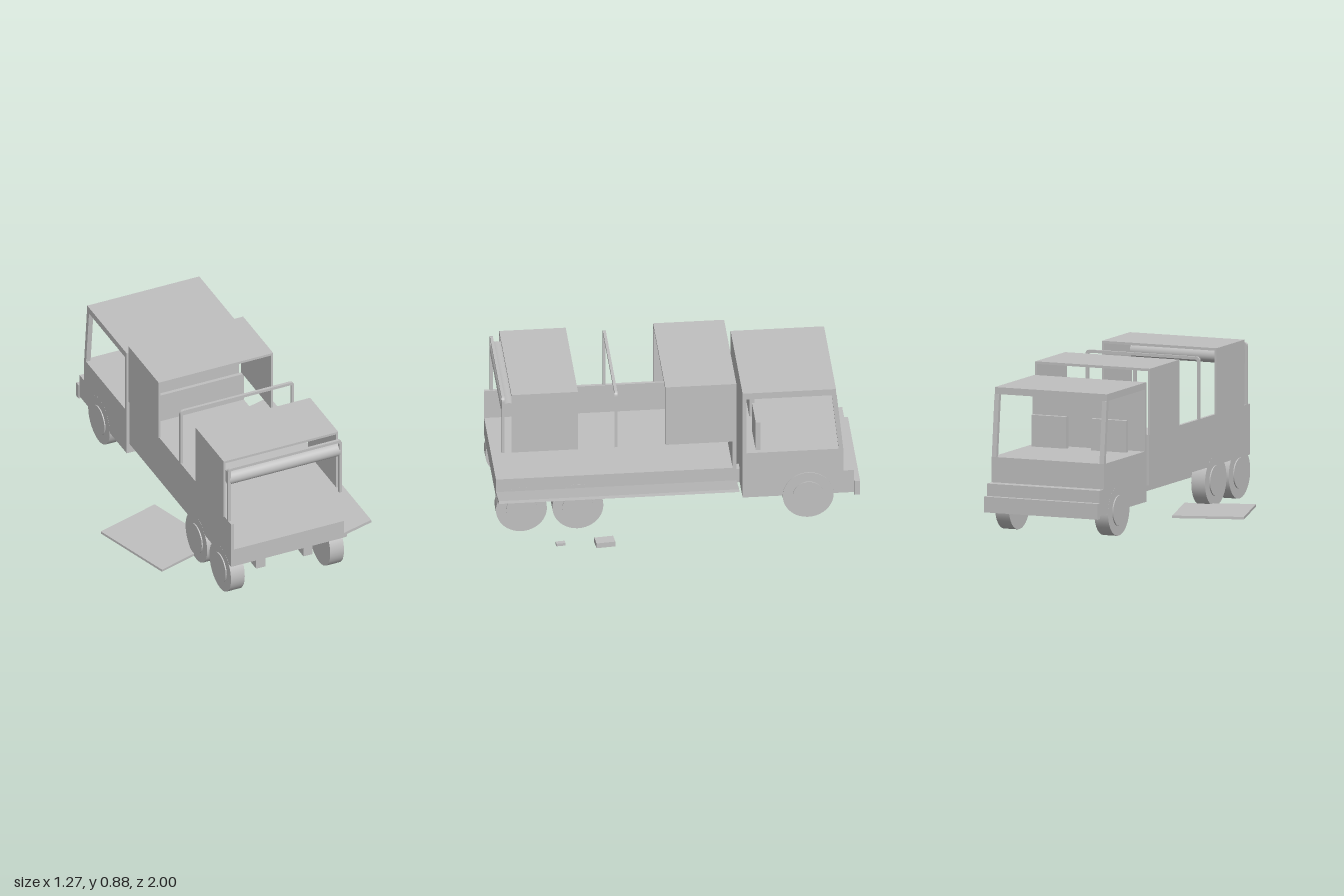
import * as THREE from 'three';

export function createModel() {
  const truck = new THREE.Group();
  truck.name = 'truck';
  const grey = new THREE.MeshStandardMaterial({ color: 0xc0c0c0 });
  grey.name = 'grey';
  const CX = 0.075; // centre line of the truck

  const add = (name, geometry, parent = truck) => {
    const mesh = new THREE.Mesh(geometry, grey);
    mesh.name = name;
    parent.add(mesh);
    return mesh;
  };
  // box given by its limits on each axis
  const box = (name, [x0, x1], [y0, y1], [z0, z1], parent) => {
    const mesh = add(name, new THREE.BoxGeometry(x1 - x0, y1 - y0, z1 - z0), parent);
    mesh.position.set((x0 + x1) / 2, (y0 + y1) / 2, (z0 + z1) / 2);
    return mesh;
  };
  // side outline as [z, y] points, extruded from x0 to x1
  const sideShape = (points) => new THREE.Shape(points.map(([z, y]) => new THREE.Vector2(-z, y)));
  const sideExtrude = (name, shape, x0, x1, parent) => {
    const g = new THREE.ExtrudeGeometry(shape, { depth: x1 - x0, bevelEnabled: false });
    g.rotateY(Math.PI / 2);
    const mesh = add(name, g, parent);
    mesh.position.x = x0;
    return mesh;
  };

  // cab
  const cab = new THREE.Group();
  cab.name = 'cab';
  truck.add(cab);
  const L = -0.265, R = 0.41;
  box('cabBody', [L, R], [0.15, 0.43], [-0.908, -0.355], cab);
  box('cabRoof', [L, R], [0.772, 0.81], [-0.868, -0.355], cab);
  box('cabRearWall', [L, R], [0.43, 0.772], [-0.375, -0.355], cab);
  for (const x of [L, R - 0.027]) {
    const pillar = sideShape([[-0.908, 0.43], [-0.883, 0.43], [-0.845, 0.772], [-0.872, 0.772]]);
    sideExtrude('windscreenPillar', pillar, x, x + 0.027, cab);
  }
  box('cabNose', [L, R], [0.15, 0.29], [-0.968, -0.908], cab);
  box('bumper', [-0.27, 0.415], [0.135, 0.222], [-1, -0.968], cab);
  box('seatBack', [0.17, 0.38], [0.43, 0.605], [-0.457, -0.43], cab);
  box('seatBack', [-0.19, 0.02], [0.43, 0.605], [-0.457, -0.43], cab);

  // chassis rails
  for (const x of [-0.095, 0.19]) box('chassisRail', [x, x + 0.055], [0.15, 0.235], [-0.4, 0.96]);

  // cargo bed with the left side board folded down
  box('bedFloor', [-0.265, 0.415], [0.235, 0.345], [-0.32, 1]);
  box('bedSideBoard', [-0.265, -0.247], [0.345, 0.515], [-0.32, 1]);
  box('bedFrontBoard', [-0.247, 0.415], [0.345, 0.515], [-0.32, -0.3]);
  const flap = add('foldedSideBoard', new THREE.BoxGeometry(0.17, 0.016, 1.32));
  flap.position.set(0.498, 0.277, 0.34);
  flap.rotation.z = 0.235;

  // wheels with hubs
  for (const z of [-0.715, 0.55, 0.86]) {
    for (const side of [-1, 1]) {
      const wheel = new THREE.Group();
      wheel.name = 'wheel';
      wheel.position.set(CX + side * 0.299, 0.15, z);
      wheel.rotation.z = Math.PI / 2;
      add('tyre', new THREE.CylinderGeometry(0.14, 0.14, 0.083, 40), wheel);
      const hub = add('hub', new THREE.CylinderGeometry(0.085, 0.085, 0.02, 32), wheel);
      hub.position.y = -side * 0.038;
      truck.add(wheel);
    }
  }

  // two canopies, each a roof with side panels
  for (const z of [[-0.32, 0.07], [0.55, 0.915]]) {
    const canopy = new THREE.Group();
    canopy.name = 'canopy';
    truck.add(canopy);
    box('canopyRoof', [-0.27, 0.42], [0.866, 0.88], z, canopy);
    for (const x of [-0.27, 0.408]) box('canopySide', [x, x + 0.012], [0.515, 0.866], z, canopy);
  }

  // roof bows: a rounded hoop with an inner hoop cut out
  const hoop = (shape, hw, top, r) => {
    shape.moveTo(-hw, 0.515);
    shape.lineTo(-hw, top - r);
    shape.quadraticCurveTo(-hw, top, -hw + r, top);
    shape.lineTo(hw - r, top);
    shape.quadraticCurveTo(hw, top, hw, top - r);
    shape.lineTo(hw, 0.515);
  };
  const bowShape = new THREE.Shape();
  hoop(bowShape, 0.343, 0.86, 0.025);
  bowShape.lineTo(0.327, 0.515);
  bowShape.lineTo(0.327, 0.834);
  bowShape.quadraticCurveTo(0.327, 0.844, 0.317, 0.844);
  bowShape.lineTo(-0.317, 0.844);
  bowShape.quadraticCurveTo(-0.327, 0.844, -0.327, 0.834);
  bowShape.lineTo(-0.327, 0.515);
  for (const z of [0.332, 0.952]) {
    const bow = add('roofBow', new THREE.ExtrudeGeometry(bowShape, { depth: 0.016, bevelEnabled: false }));
    bow.position.set(CX, 0, z);
  }

  // rolled up rear cover
  const roll = add('coverRoll', new THREE.CylinderGeometry(0.041, 0.041, 0.665, 32));
  roll.rotation.z = Math.PI / 2;
  roll.position.set(CX, 0.782, 0.93);

  // loose pieces lying on the ground
  const board = add('looseBoard', new THREE.BoxGeometry(0.395, 0.014, 0.5));
  board.position.set(-0.375, 0.021, 0.292);
  board.rotation.y = 0.297;
  const block = add('looseBlock', new THREE.BoxGeometry(0.065, 0.03, 0.105));
  block.position.set(0.597, 0.023, 0.42);
  block.rotation.y = 0.1;
  const chip = add('smallLooseBlock', new THREE.BoxGeometry(0.026, 0.016, 0.05));
  chip.position.set(0.565, 0.008, 0.66);
  chip.rotation.y = 0.1;

  return truck;
}
